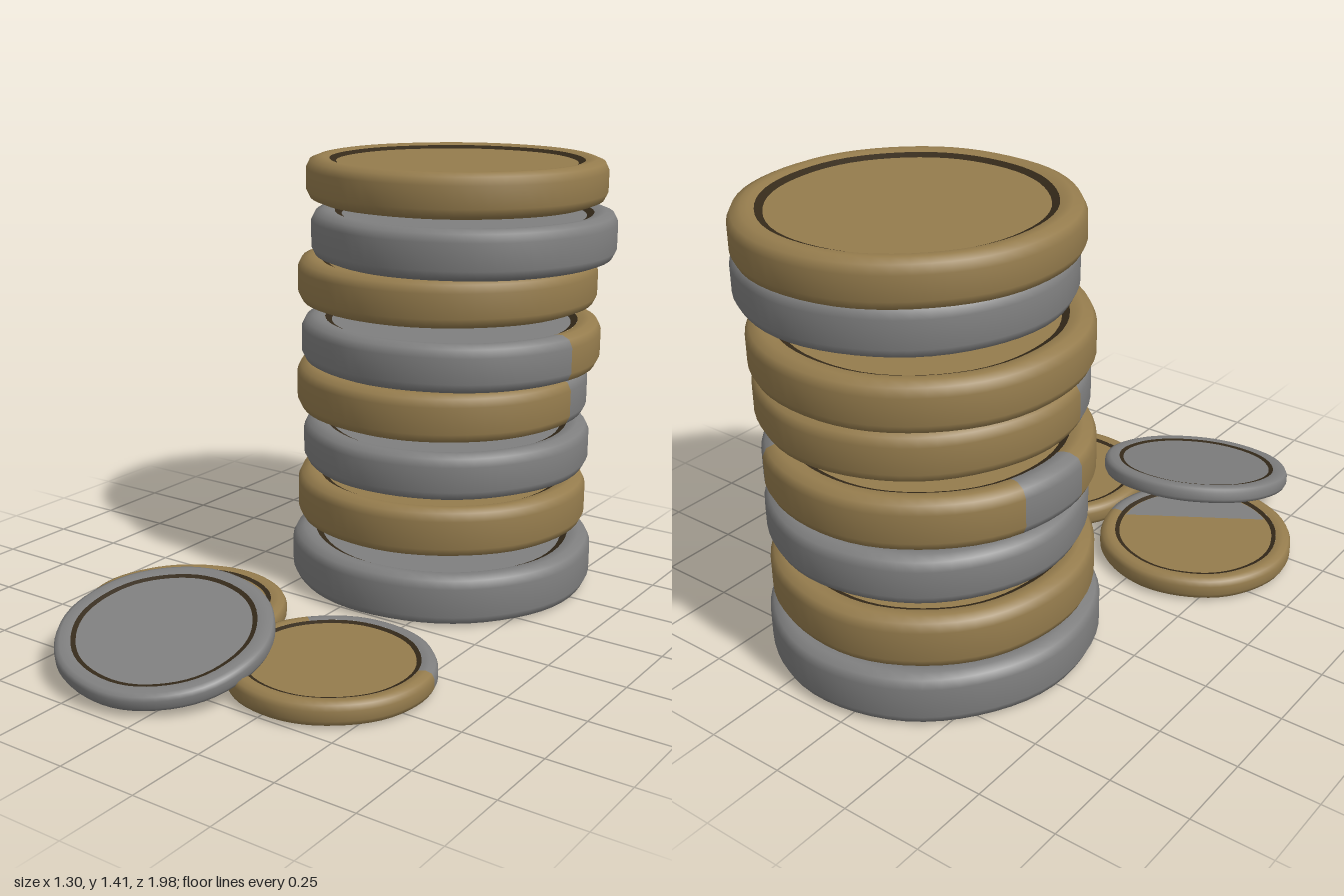
import * as THREE from 'three';

const gold = new THREE.MeshStandardMaterial({ color: 0x957c4d });
gold.name = 'old gold';
const silver = new THREE.MeshStandardMaterial({ color: 0x7f7f7f });
silver.name = 'dull silver';
const dark = new THREE.MeshStandardMaterial({ color: 0x352a1a });
dark.name = 'dark groove';

const rad = THREE.MathUtils.degToRad;

// Lathe strip from angle a0 to a1 (degrees from +x towards +z), slightly worn out of round
function strip(points, a0, a1, seed) {
  const segments = Math.max(4, Math.round((a1 - a0) / 6));
  const geo = new THREE.LatheGeometry(
    points.map(([r, y]) => new THREE.Vector2(r, y)), segments, rad(90 - a1), rad(a1 - a0));
  const p = geo.attributes.position;
  for (let i = 0; i < p.count; i++) {
    const a = Math.atan2(p.getZ(i), p.getX(i));
    const k = 1 + 0.005 * Math.sin(3 * a + seed) + 0.003 * Math.sin(8 * a + seed * 2);
    p.setX(i, p.getX(i) * k);
    p.setZ(i, p.getZ(i) * k);
  }
  return geo;
}

function add(group, name, geo, material) {
  const mesh = new THREE.Mesh(geo, material);
  mesh.name = name;
  group.add(mesh);
  return mesh;
}

// Coin with rounded rim, dark groove and sunken faces on both sides.
// patches: [from, to, material] sectors of the rim in another metal
function makeCoin({ name, x, z, y0, y1, r, metal, under = metal, patches = [] }, seed) {
  const coin = new THREE.Group();
  coin.name = name;
  const h = (y1 - y0) / 2;
  const ri = r * 0.8;
  const w = r * 0.045;          // groove width
  const d = h * 0.22;           // depth of the sunken face
  const b = Math.min(0.035, h * 0.6);
  const lower = [
    [ri + w, -h + d * 0.4], [ri + w * 1.8, -h + d * 0.05], [r - b * 1.1, -h],
    [r - b * 0.35, -h + b * 0.3], [r, -h + b],
  ];
  const upper = lower.map(([pr, py]) => [pr, -py]).reverse();
  const rim = [...lower, ...upper];

  // Rim, cut into sectors
  let a = patches.length ? patches[0][0] : -180;
  const end = a + 360;
  for (const [from, to, material] of patches) {
    if (from > a) add(coin, 'rim', strip(rim, a, from, seed), metal);
    add(coin, 'rimPatch', strip(rim, from, to, seed), material);
    a = to;
  }
  if (a < end) add(coin, 'rim', strip(rim, a, end, seed), metal);

  // Grooves and faces
  const foot = [ri, -h + d], lip = lower[0];
  add(coin, 'lowerGroove', strip([foot, lip], -180, 180, seed), dark);
  add(coin, 'upperGroove', strip([[lip[0], -lip[1]], [foot[0], -foot[1]]], -180, 180, seed), dark);
  add(coin, 'lowerFace', strip([[0, -h + d], foot], -180, 180, seed), under);
  add(coin, 'upperFace', strip([[ri, h - d], [0, h - d]], -180, 180, seed), metal);

  coin.position.set(x, (y0 + y1) / 2, z);
  return coin;
}

export function createModel() {
  const model = new THREE.Group();
  model.name = 'coinPile';

  // Stack, bottom to top: x, z, bottom, top, radius, metal, rim patches
  const stack = [
    [0.09, -0.473, 0.005, 0.168, 0.502, silver],
    [0.068, -0.497, 0.21, 0.37, 0.484, gold],
    [0.086, -0.49, 0.4, 0.55, 0.475, silver],
    [0.065, -0.495, 0.583, 0.738, 0.482, gold, [[-190, -162, silver], [-55, 0, silver]]],
    [0.122, -0.457, 0.758, 0.908, 0.485, silver, [[-196, 10, gold]]],
    [0.07, -0.505, 0.942, 1.09, 0.489, gold],
    [0.163, -0.45, 1.105, 1.258, 0.487, silver],
    [0.1, -0.51, 1.273, 1.412, 0.485, gold],
  ];
  stack.forEach(([x, z, y0, y1, r, metal, patches], i) =>
    model.add(makeCoin({ name: 'stackCoin' + (i + 1), x, z, y0, y1, r, metal, patches }, i * 1.7)));

  // Two small coins lying on the ground
  const rightLoose = makeCoin({ name: 'looseCoinLeft', x: 0.28, z: 0.445, y0: 0.008, y1: 0.08,
    r: 0.308, metal: gold, under: silver, patches: [[-140, -15, silver]] }, 2);
  const leftLoose = makeCoin({ name: 'looseCoinRight', x: -0.335, z: 0.373, y0: 0.008, y1: 0.08,
    r: 0.318, metal: gold, under: silver, patches: [[-10, 45, silver]] }, 4);
  model.add(rightLoose, leftLoose);

  // Silver stain on the face beneath the leaning coin
  const stain = new THREE.Shape().absarc(0, 0, 0.25, rad(-128), rad(12), false);
  const stainMesh = add(leftLoose, 'faceStain', new THREE.ShapeGeometry(stain, 24), silver);
  stainMesh.rotation.x = -Math.PI / 2;
  stainMesh.position.y = 0.0295;

  // Small coin leaning on the others, gold underneath
  const leaning = makeCoin({ name: 'leaningCoin', x: -0.152, z: 0.67, y0: 0.09, y1: 0.146,
    r: 0.322, metal: silver, under: gold }, 5);
  leaning.rotation.set(rad(12), 0, rad(-4));
  model.add(leaning);

  return model;
}
